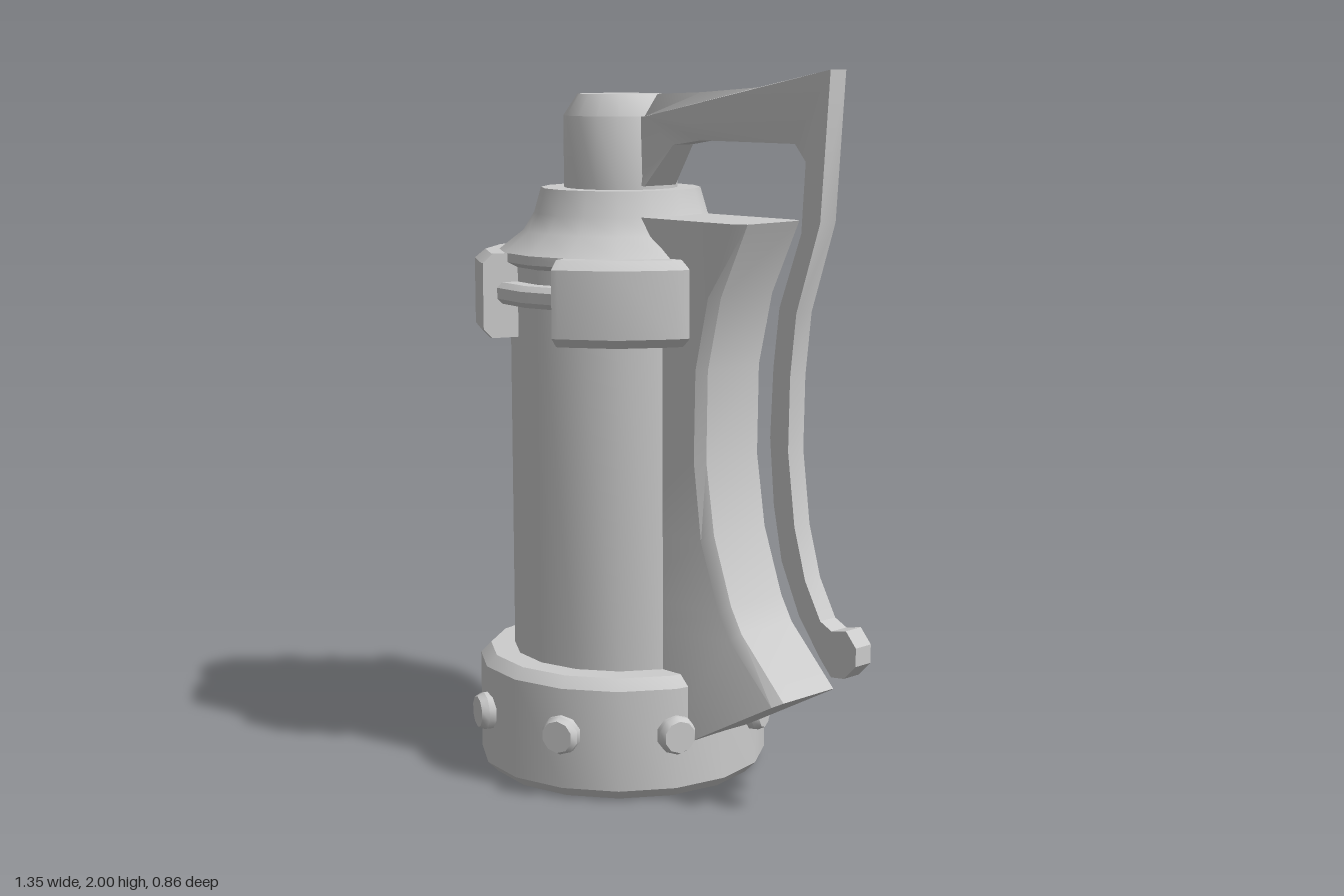
import * as THREE from 'three';
import { toCreasedNormals } from 'three/addons/utils/BufferGeometryUtils.js';

const AXIS_X = -0.25; // centre line of the cylinder
const material = new THREE.MeshStandardMaterial({ color: 0xcccccc });

function addMesh(parent, name, geometry, crease = 0.6) {
  const mesh = new THREE.Mesh(toCreasedNormals(geometry, crease), material);
  mesh.name = name;
  parent.add(mesh);
  return mesh;
}

// Solid of revolution from [radius, y] pairs, bottom to top
function lathe(profile) {
  return new THREE.LatheGeometry(profile.map(([r, y]) => new THREE.Vector2(r, y)), 16);
}

// Solid skinned over equal-length convex sections, capped at both ends
function loft(sections) {
  const n = sections[0].length;
  const last = (sections.length - 1) * n;
  const index = [];
  for (let i = 0; i < sections.length - 1; i++) {
    for (let j = 0; j < n; j++) {
      const k = (j + 1) % n;
      const a = i * n + j, b = a + n, d = i * n + k, c = d + n;
      index.push(a, b, d, c, d, b);
    }
  }
  for (let j = 1; j < n - 1; j++) {
    index.push(0, j, j + 1, last, last + j + 1, last + j);
  }
  const geometry = new THREE.BufferGeometry();
  geometry.setAttribute('position', new THREE.Float32BufferAttribute(sections.flat(2), 3));
  geometry.setIndex(index);
  return geometry;
}

// Closed [radius, y] profile swept from one angle to another (degrees from +z to +x),
// with corners on the shared 16-sided grid
function arcBlock(profile, from, to) {
  const angles = [from];
  for (let a = Math.ceil((from + 0.1) / 22.5) * 22.5; a < to; a += 22.5) angles.push(a);
  angles.push(to);
  return loft(angles.map((deg) => {
    const a = THREE.MathUtils.degToRad(deg);
    return profile.map(([r, y]) => [r * Math.sin(a), y, r * Math.cos(a)]);
  }));
}

function createCanister() {
  const canister = new THREE.Group();
  canister.name = 'canister';
  canister.position.x = AXIS_X;

  addMesh(canister, 'base', lathe([
    [0, 0], [0.385, 0], [0.415, 0.03], [0.415, 0.315], [0.385, 0.345], [0.3, 0.345],
  ]));
  addMesh(canister, 'body', lathe([
    [0.315, 0.32], [0.315, 1.455], [0.345, 1.47], [0.345, 1.495], [0.275, 1.55],
    [0.245, 1.6], [0.225, 1.67], [0.14, 1.67],
  ]));
  addMesh(canister, 'topKnob', lathe([
    [0.16, 1.66], [0.16, 1.87], [0.12, 1.93], [0, 1.93],
  ]));

  // Collar in three pieces, with a thin bar bridging each gap
  const collar = [
    [0.3, 1.26], [0.39, 1.26], [0.415, 1.285], [0.415, 1.47], [0.385, 1.495], [0.3, 1.495],
  ];
  const bar = [
    [0.3, 1.355], [0.36, 1.355], [0.375, 1.37], [0.375, 1.4], [0.36, 1.415], [0.3, 1.415],
  ];
  for (const [from, to] of [[20, 73], [107, 201], [249, 340]]) {
    addMesh(canister, 'collarSegment', arcBlock(collar, from, to));
  }
  for (const [from, to] of [[-21, 21], [72, 108], [200, 250]]) {
    addMesh(canister, 'collarBar', arcBlock(bar, from, to));
  }

  // Studs around the base
  const studShape = new THREE.CylinderGeometry(0.045, 0.055, 0.02, 10).translate(0, 0.01, 0);
  studShape.rotateX(Math.PI / 2);
  const studBarrel = new THREE.CylinderGeometry(0.055, 0.055, 0.05, 10).rotateX(Math.PI / 2);
  for (let i = 0; i < 8; i++) {
    const stud = new THREE.Group();
    stud.name = 'baseStud';
    stud.rotation.y = Math.PI / 8 + (i * Math.PI) / 4;
    addMesh(stud, 'studBarrel', studBarrel, 0.7).position.set(0, 0.185, 0.4);
    addMesh(stud, 'studCap', studShape, 0.7).position.set(0, 0.185, 0.425);
    canister.add(stud);
  }
  return canister;
}

// Curved grip with chamfered outer edges; rows: inner x, y, edge x, y, outer x, y
function createGrip() {
  const rows = [
    [-0.1, 1.6, 0.305, 1.6, 0.34, 1.6],
    [-0.1, 1.4, 0.215, 1.4, 0.243, 1.4],
    [-0.1, 1.2, 0.168, 1.2, 0.195, 1.2],
    [-0.1, 0.95, 0.162, 0.95, 0.19, 0.95],
    [-0.1, 0.73, 0.19, 0.73, 0.22, 0.75],
    [-0.1, 0.54, 0.26, 0.54, 0.285, 0.565],
    [-0.08, 0.45, 0.3, 0.475, 0.325, 0.495],
    [0, 0.08, 0.455, 0.322, 0.48, 0.335],
  ];
  return loft(rows.map(([ix, iy, ex, ey, ox, oy]) => [
    [ix, iy, 0.12], [ex, ey, 0.12], [ox, oy, 0.1],
    [ox, oy, -0.1], [ex, ey, -0.12], [ix, iy, -0.12],
  ]));
}

// Flat lever, widened where it meets the knob
function createLever() {
  const outline = [
    [-0.13, 1.68], [-0.09, 1.68], [0, 1.795], [0.1, 1.81], [0.44, 1.81], [0.478, 1.765],
    [0.465, 1.58], [0.39, 1.38], [0.37, 1.22], [0.36, 1.03], [0.375, 0.85], [0.405, 0.7],
    [0.47, 0.56], [0.545, 0.46], [0.585, 0.415], [0.63, 0.42], [0.67, 0.46], [0.67, 0.51],
    [0.635, 0.55], [0.585, 0.54], [0.545, 0.56], [0.49, 0.66], [0.45, 0.8], [0.425, 1],
    [0.43, 1.2], [0.45, 1.37], [0.53, 1.61], [0.56, 2], [0.31, 1.953], [0.1, 1.938],
    [-0.05, 1.932], [-0.09, 1.87], [-0.13, 1.87],
  ];
  const shape = new THREE.Shape(outline.map(([x, y]) => new THREE.Vector2(x, y)));
  const geometry = new THREE.ExtrudeGeometry(shape, { depth: 0.06, bevelEnabled: false });
  geometry.translate(0, 0, -0.03);
  const p = geometry.attributes.position;
  for (let i = 0; i < p.count; i++) {
    const t = THREE.MathUtils.clamp((0.1 - p.getX(i)) / 0.2, 0, 1);
    p.setZ(i, Math.sign(p.getZ(i)) * (0.03 + 0.033 * t * t));
  }
  return geometry;
}

export function createModel() {
  const model = new THREE.Group();
  model.name = 'handheldCanister';
  model.add(createCanister());
  addMesh(model, 'grip', createGrip());
  addMesh(model, 'lever', createLever(), 0.5);
  return model;
}
